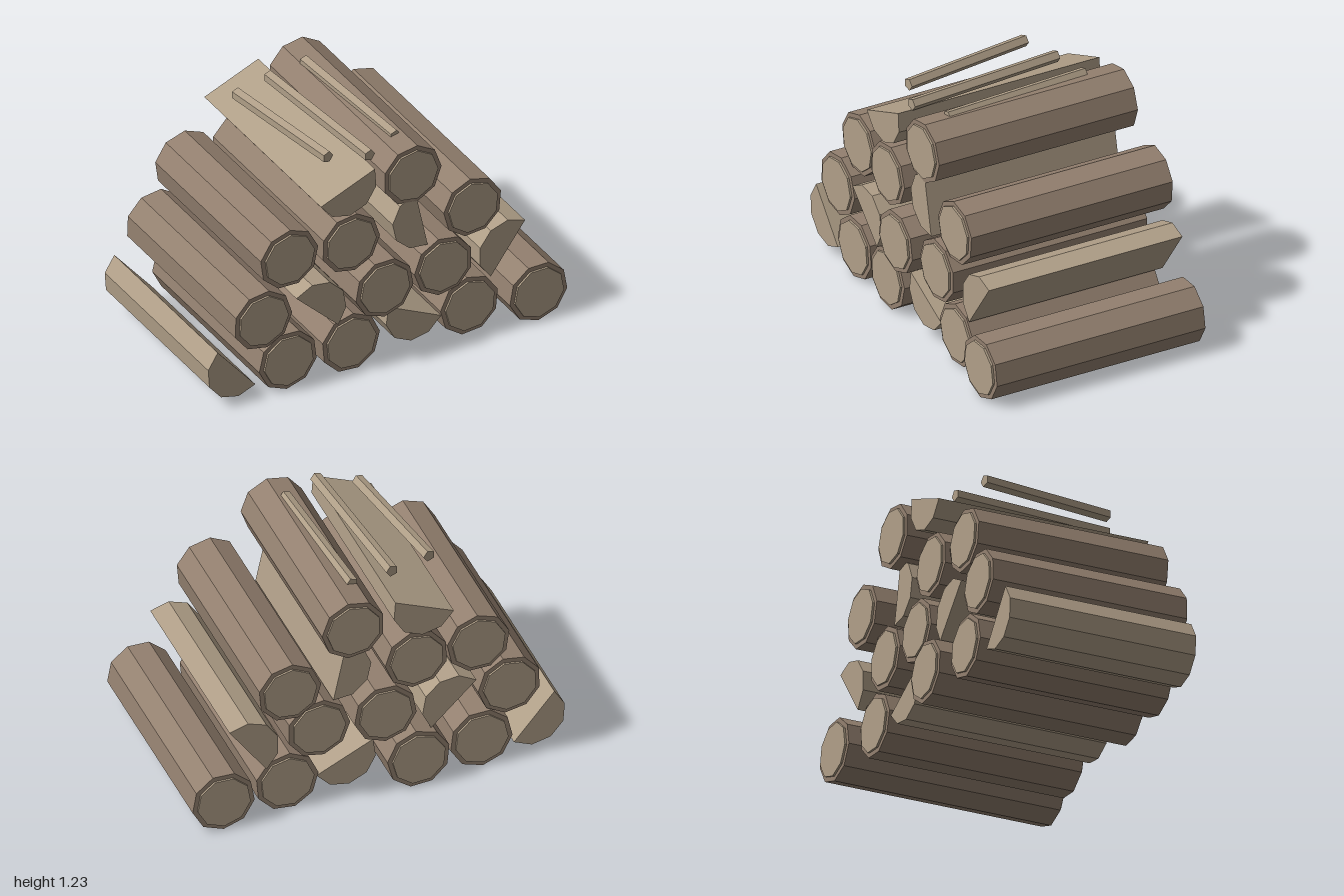
import * as THREE from 'three';

const bark = new THREE.MeshStandardMaterial({ color: 0x93806f, flatShading: true });
const wood = new THREE.MeshStandardMaterial({ color: 0xb09f88, flatShading: true });
const RADIUS = 0.167;

// Prism along z: cross-section points on a circle, from angle `start` (degrees) in `count` steps
function prism(radius, start, step, count, z0, z1) {
  const points = [];
  for (let i = 0; i < count; i++) {
    const a = THREE.MathUtils.degToRad(start + i * step);
    points.push(new THREE.Vector2(radius * Math.cos(a), radius * Math.sin(a)));
  }
  const geometry = new THREE.ExtrudeGeometry(new THREE.Shape(points), { depth: z1 - z0, bevelEnabled: false });
  return geometry.translate(0, 0, z0);
}

function addMesh(parent, name, geometry, material) {
  const mesh = new THREE.Mesh(geometry, material);
  mesh.name = name;
  parent.add(mesh);
  return mesh;
}

// Nine-sided round log with a slightly raised cut face at both ends
function roundLog(x, y, turn, z0, z1) {
  const log = new THREE.Group();
  log.name = 'roundLog';
  addMesh(log, 'bark', prism(RADIUS, turn, 40, 9, z0, z1), bark);
  for (const [from, to] of [[z0 - 0.011, z0 + 0.01], [z1 - 0.01, z1 + 0.011]]) {
    addMesh(log, 'cutFace', prism(0.142, turn, 40, 9, from, to), wood);
  }
  log.position.set(x, y, 0);
  return log;
}

export function createModel() {
  const pile = new THREE.Group();
  pile.name = 'firewoodPile';

  // Round logs: x, y, turn, back z, front z
  const logs = [
    [-0.55, 0.17, 27, -0.54, 0.52], [-0.2, 0.17, 5, -0.59, 0.535],
    [0.48, 0.17, 15, -0.54, 0.535], [0.835, 0.17, 30, -0.59, 0.605],
    [-0.7, 0.46, 38, -0.54, 0.53], [-0.035, 0.465, 30, -0.56, 0.585],
    [0.32, 0.465, 20, -0.56, 0.555],
    [-0.535, 0.757, 8, -0.54, 0.505], [-0.2, 0.757, 38, -0.56, 0.535],
    [0.49, 0.757, 15, -0.605, 0.55],
    [0.15, 1.05, 0, -0.6, 0.54],
  ];
  for (const log of logs) pile.add(roundLog(...log));

  // Split logs: x and y of the flat side's middle, start of the arc, back z, front z
  const halves = [
    [-0.84, 0.21, -50, -0.515, 0.51], [0.17, 0.23, -26, -0.53, 0.53],
    [-0.4, 0.425, 136, -0.55, 0.55], [0.7, 0.433, -126, -0.575, 0.535],
    [0.203, 0.773, -78, -0.55, 0.54], [-0.225, 1.1, 22, -0.605, 0.55],
  ];
  for (const [x, y, start, z0, z1] of halves) {
    addMesh(pile, 'splitLog', prism(RADIUS, start, -36, 6, z0, z1), wood).position.set(x, y, 0);
  }

  // Thin kindling sticks on top: back x and z, front x and z
  const sticks = [
    [-0.35, -0.34, -0.247, 0.39],
    [-0.132, -0.395, -0.06, 0.48],
    [0.09, -0.425, 0.138, 0.39],
  ];
  for (const [x0, z0, x1, z1] of sticks) {
    const half = Math.hypot(x1 - x0, z1 - z0) / 2;
    const stick = addMesh(pile, 'kindlingStick', prism(0.032, 0, 72, 5, -half, half), wood);
    stick.position.set((x0 + x1) / 2, 1.2, (z0 + z1) / 2);
    stick.rotation.y = Math.atan2(x1 - x0, z1 - z0);
  }

  return pile;
}
